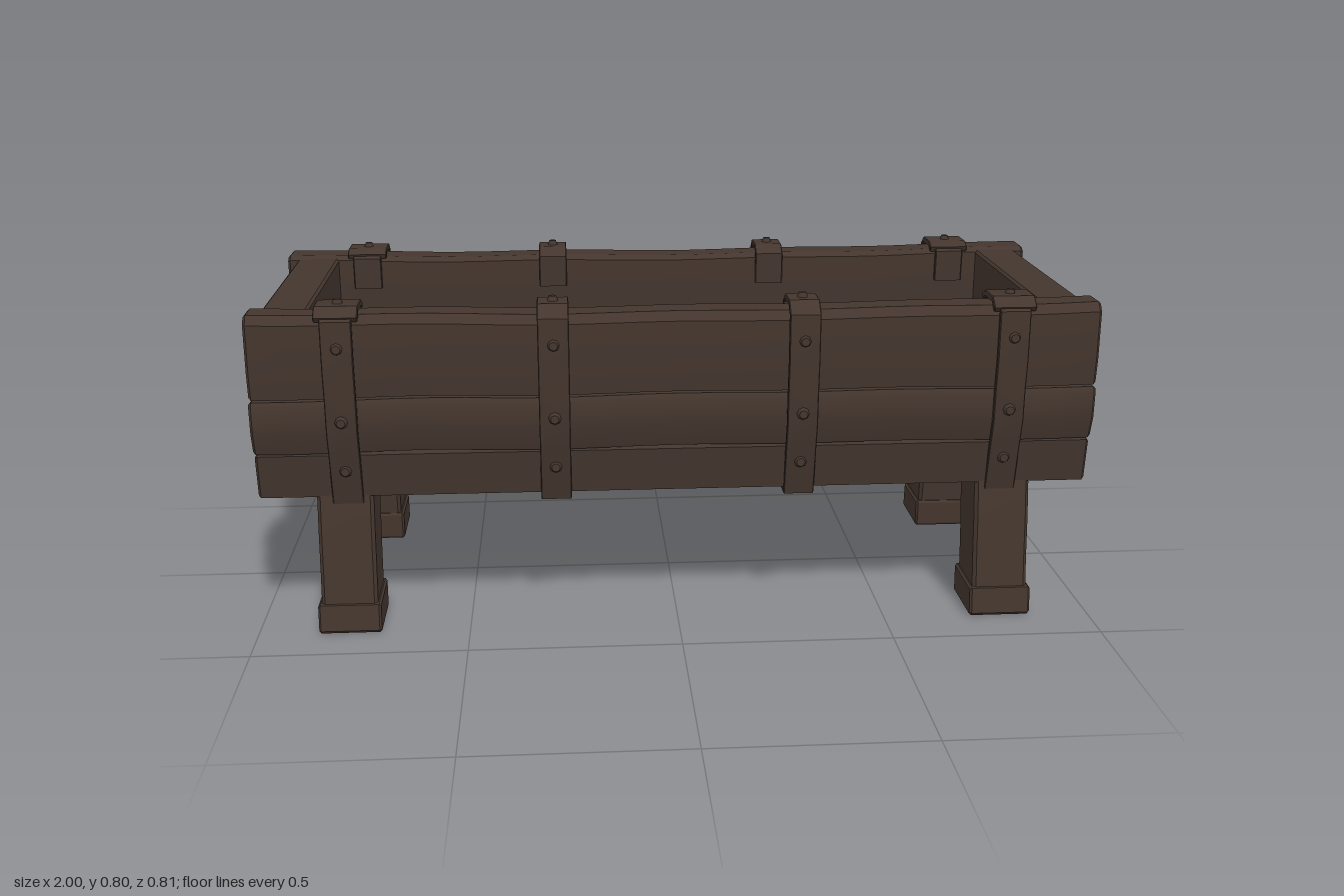
import * as THREE from 'three';
import { toCreasedNormals } from 'three/addons/utils/BufferGeometryUtils.js';

const wood = new THREE.MeshStandardMaterial({ color: 0x44362e });
wood.name = 'dark brown wood';

function add(parent, name, geometry) {
  const mesh = new THREE.Mesh(geometry, wood);
  mesh.name = name;
  parent.add(mesh);
  return mesh;
}

// Prism along x from a [z, y] outline, with bevelled ends and optional warp
function prism(outline, x0, x1, bevel = 0.008, steps = 1, warp = null) {
  const shape = new THREE.Shape(outline.map(([z, y]) => new THREE.Vector2(-z, y)));
  const g = new THREE.ExtrudeGeometry(shape, {
    depth: x1 - x0 - 2 * bevel, steps, bevelEnabled: true, bevelSegments: 1,
    bevelSize: bevel, bevelThickness: bevel, bevelOffset: -bevel,
  });
  g.translate(0, 0, x0 + bevel);
  g.rotateY(Math.PI / 2);
  if (warp) {
    const p = g.attributes.position;
    for (let i = 0; i < p.count; i++) {
      const [dy, dz] = warp(p.getX(i), p.getY(i), p.getZ(i));
      p.setY(i, p.getY(i) + dy);
      p.setZ(i, p.getZ(i) + dz);
    }
  }
  return toCreasedNormals(g, 0.5);
}

// Closed outline of a band of thickness t lying on the left of a path
function band(path, t) {
  const outer = path.map(([z, y], i) => {
    const a = path[Math.max(i - 1, 0)], b = path[Math.min(i + 1, path.length - 1)];
    const dz = b[0] - a[0], dy = b[1] - a[1], l = Math.hypot(dz, dy);
    return [z - dy / l * t, y + dz / l * t];
  });
  return [...path, ...outer.reverse()];
}

const flip = (pts, s) => pts.map(([z, y]) => [z * s, y]);

function bolt(parent, x, y, z, axis, r = 0.014) {
  const g = new THREE.CylinderGeometry(r * 0.6, r, 0.014, 8);
  if (axis === 'x') g.rotateZ(-Math.PI / 2);
  if (axis === 'z') g.rotateX(Math.PI / 2 * Math.sign(z));
  add(parent, 'bolt', g).position.set(x, y, z);
}

// Metal fittings and boards closing one end
function makeEnd() {
  const end = new THREE.Group();
  add(end, 'upperEndBoard', prism([[-0.287, 0.6], [0.287, 0.6], [0.287, 0.768], [-0.287, 0.768]], 0.85, 0.957, 0.006));
  add(end, 'lowerEndBoard', prism([[-0.255, 0.375], [0.255, 0.375], [0.278, 0.598], [-0.278, 0.598]], 0.857, 0.947, 0.005));
  for (const s of [-1, 1]) {
    const bracket = flip([[0.165, 0.637], [0.305, 0.633], [0.305, 0.69], [0.165, 0.688]], s);
    add(end, 'cornerBracket', prism(bracket, 0.95, 0.988, 0.003));
    const tongue = flip([[0.225, 0.64], [0.185, 0.64], [0.19, 0.58], [0.198, 0.555], [0.208, 0.55], [0.215, 0.565]], s);
    add(end, 'bracketTongue', prism(tongue, 0.94, 0.97, 0.003));
    bolt(end, 0.991, 0.66, s * 0.205, 'x', 0.012);
    bolt(end, 0.973, 0.603, s * 0.204, 'x', 0.009);
  }
  add(end, 'ringPlate', prism([[-0.028, 0.665], [0.047, 0.665], [0.047, 0.726], [-0.028, 0.726]], 0.95, 0.968, 0.003));
  const loop = add(end, 'ringLoop', new THREE.TorusGeometry(0.021, 0.005, 6, 14));
  loop.position.set(0.974, 0.68, 0.012);
  const ring = add(end, 'pullRing', new THREE.TorusGeometry(0.038, 0.008, 6, 10));
  ring.rotation.y = Math.PI / 2;
  ring.position.set(0.978, 0.632, 0.013);
  return end;
}

export function createModel() {
  const model = new THREE.Group();
  model.name = 'trough';

  // Gentle sag and wear along the planks
  const wear = (x, y, z) => {
    const m = 1 - (x / 0.985) ** 2;
    const top = y > 0.7 ? -0.009 * m : 0;
    return [top + 0.002 * Math.sin(x * 11 + z * 5), -Math.sign(z) * 0.004 * m * (1 + Math.sin(x * 7))];
  };
  const upper = [[0.291, 0.578], [0.374, 0.578], [0.381, 0.64], [0.381, 0.755], [0.365, 0.776], [0.3, 0.776], [0.284, 0.765], [0.284, 0.68]];
  const middle = [[0.281, 0.568], [0.37, 0.572], [0.376, 0.56], [0.374, 0.495], [0.357, 0.442], [0.272, 0.454], [0.279, 0.52]];
  const lower = [[0.357, 0.436], [0.342, 0.33], [0.117, 0.33], [0.113, 0.36], [0.117, 0.379], [0.247, 0.387], [0.258, 0.395], [0.268, 0.449]];
  for (const s of [-1, 1]) {
    add(model, 'upperSidePlank', prism(flip(upper, s), -0.983, 0.983, 0.006, 24, wear));
    add(model, 'middleSidePlank', prism(flip(middle, s), -0.985, 0.985, 0.006, 24, wear));
    add(model, 'cornerFloorPlank', prism(flip(lower, s), -0.983, 0.983, 0.006, 1));
  }
  const centre = [[-0.11, 0.33], [0.11, 0.33], [0.11, 0.378], [-0.11, 0.378]];
  add(model, 'centreFloorPlank', prism(centre, -0.98, 0.98, 0.006));

  // Straps hooked over both rims and running under the floor
  const half = [[0.285, 0.69], [0.281, 0.768], [0.3, 0.778], [0.362, 0.778], [0.383, 0.76],
    [0.384, 0.65], [0.377, 0.575], [0.375, 0.495], [0.36, 0.437], [0.344, 0.326]];
  const path = [...half, ...flip(half, -1).reverse()];
  for (const x of [-0.775, -0.288, 0.288, 0.775]) {
    add(model, 'strap', prism(band(path, 0.013), x - 0.036, x + 0.036, 0.002));
    for (const s of [-1, 1]) {
      bolt(model, x, 0.795, s * 0.332, 'y');
      for (const [y, z] of [[0.7, 0.397], [0.525, 0.392], [0.4, 0.367]]) bolt(model, x, y, s * z, 'z', 0.017);
      // Wider rim clips on the end straps
      if (Math.abs(x) > 0.5) add(model, 'rimClip', prism(flip(band(half.slice(1, 5), 0.0145), s), x - 0.05, x + 0.05, 0.002));
    }
  }

  // Splayed legs with square foot cuffs
  const leg = [[0.195, 0.335], [0.342, 0.335], [0.357, 0.24], [0.367, 0.14], [0.378, 0.06], [0.231, 0.06], [0.223, 0.15], [0.207, 0.25]];
  const foot = [[0.231, 0], [0.384, 0], [0.392, 0.008], [0.385, 0.071], [0.227, 0.073], [0.224, 0.067], [0.227, 0.006]];
  for (const sx of [-1, 1]) for (const sz of [-1, 1]) {
    add(model, 'leg', prism(flip(leg, sz), sx * 0.783 - 0.066, sx * 0.783 + 0.066, 0.008));
    add(model, 'footCuff', prism(flip(foot, sz), sx * 0.783 - 0.074, sx * 0.783 + 0.074, 0.005));
  }

  const rightEnd = makeEnd();
  rightEnd.name = 'rightEnd';
  const leftEnd = makeEnd();
  leftEnd.name = 'leftEnd';
  leftEnd.rotation.y = Math.PI;
  model.add(rightEnd, leftEnd);
  return model;
}
